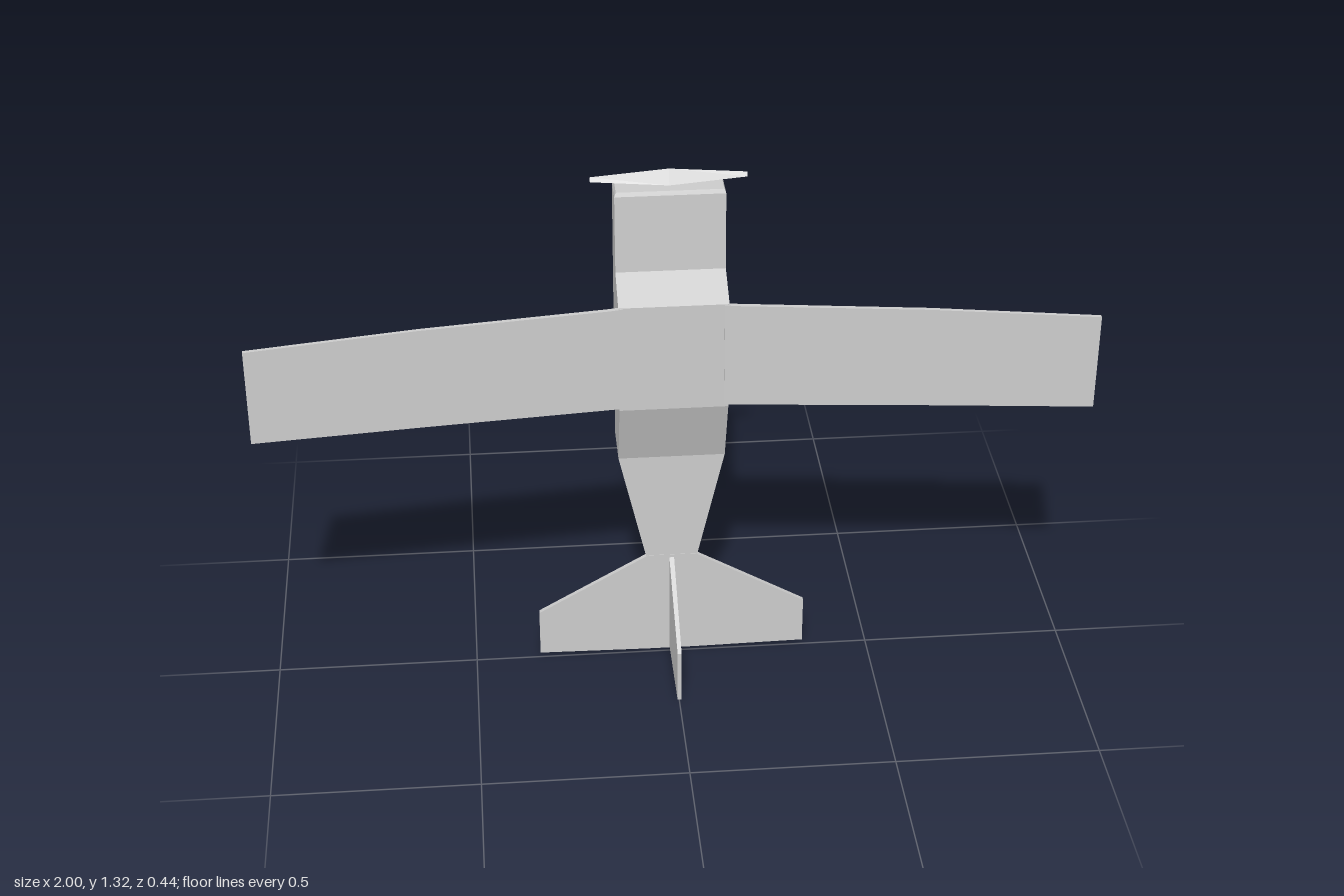
import * as THREE from 'three';

const material = new THREE.MeshStandardMaterial({ color: 0xcccccc, flatShading: true });

// Skin a list of equal-sized rings [[x,y,z],...] and cap both ends.
// Rings run anticlockwise when seen from the far end of the loft.
function loft(name, rings) {
  const n = rings[0].length, last = rings.length - 1, pos = [];
  const tri = (a, b, c) => pos.push(...a, ...b, ...c);
  for (let r = 0; r < last; r++) {
    for (let i = 0; i < n; i++) {
      const j = (i + 1) % n, a = rings[r], b = rings[r + 1];
      tri(a[i], a[j], b[j]);
      tri(a[i], b[j], b[i]);
    }
  }
  for (let i = 1; i < n - 1; i++) {
    tri(rings[0][0], rings[0][i + 1], rings[0][i]);
    tri(rings[last][0], rings[last][i], rings[last][i + 1]);
  }
  const geo = new THREE.BufferGeometry();
  geo.setAttribute('position', new THREE.Float32BufferAttribute(pos, 3));
  geo.computeVertexNormals();
  const mesh = new THREE.Mesh(geo, material);
  mesh.name = name;
  return mesh;
}

// Rectangular sections across each axis
const ringX = (x, y0, y1, z0, z1) => [[x, y0, z0], [x, y1, z0], [x, y1, z1], [x, y0, z1]];
const ringY = (y, w, z0, z1) => [[-w, y, z0], [-w, y, z1], [w, y, z1], [w, y, z0]];
const ringZ = (z, w, y0, y1) => [[-w, y0, z], [w, y0, z], [w, y1, z], [-w, y1, z]];
const mirrorX = rings => rings.map(r => r.map(([x, y, z]) => [-x, y, z]).reverse());

export function createModel() {
  const plane = new THREE.Group();
  plane.name = 'airplane';

  // Fuselage, tail tip up to nose: y, half width, belly z, top z
  plane.add(loft('fuselage', [
    [0.0, 0.006, -0.02, -0.01],
    [0.29, 0.065, -0.075, -0.01],
    [0.58, 0.131, -0.131, -0.01],
    [0.755, 0.131, -0.131, 0.055],
    [1.033, 0.131, -0.131, 0.055],
    [1.08, 0.131, -0.131, -0.037],
    [1.272, 0.131, -0.131, -0.046],
    [1.282, 0.127, -0.128, -0.05],
  ].map(s => ringY(...s))));

  // Thin wings rising towards the tips
  const wing = [
    ringX(0.12, 0.762, 1.032, 0.046, 0.058),
    ringX(0.15, 0.762, 1.03, 0.049, 0.061),
    ringX(0.6, 0.762, 1.022, 0.093, 0.103),
    ringX(1.0, 0.762, 1.006, 0.134, 0.144),
  ];
  plane.add(loft('leftWing', wing), loft('rightWing', mirrorX(wing)));

  // Tail surfaces
  plane.add(loft('tailplane', [
    ringX(-0.337, 0.006, 0.13, -0.021, -0.009),
    ringX(-0.06, 0.002, 0.29, -0.021, -0.009),
    ringX(0.06, 0.002, 0.29, -0.021, -0.009),
    ringX(0.337, 0.006, 0.13, -0.021, -0.009),
  ]));
  plane.add(loft('tailFin', [
    ringZ(-0.015, 0.006, 0.008, 0.285),
    ringZ(0.22, 0.005, 0.008, 0.148),
  ]));

  // Propeller: triangular section, thickest in the middle
  const blade = (x, y0, y1, d) => [[x, y0, -0.09 - d], [x, y1, -0.09], [x, y0, -0.09 + d]];
  plane.add(loft('propeller', [
    blade(-0.185, 1.295, 1.305, 0.006),
    blade(0, 1.285, 1.32, 0.018),
    blade(0.185, 1.295, 1.305, 0.006),
  ]));
  const hub = new THREE.Mesh(new THREE.CylinderGeometry(0.008, 0.008, 0.02, 6), material);
  hub.name = 'propellerHub';
  hub.position.set(0, 1.285, -0.09);
  plane.add(hub);

  // Small wedge-shaped wheels below the belly: outline in (y, z)
  const wheel = (name, x, outline) => plane.add(loft(name,
    [-0.004, 0.004].map(d => outline.map(([y, z]) => [x + d, y, z]))));
  const mainWheel = [[0.75, -0.195], [0.772, -0.215], [0.785, -0.212], [0.792, -0.192], [0.785, -0.173], [0.77, -0.173]];
  wheel('noseWheel', 0, [[1.214, -0.205], [1.26, -0.187], [1.247, -0.17], [1.236, -0.17]]);
  wheel('leftMainWheel', 0.142, mainWheel);
  wheel('rightMainWheel', -0.142, mainWheel);

  return plane;
}
